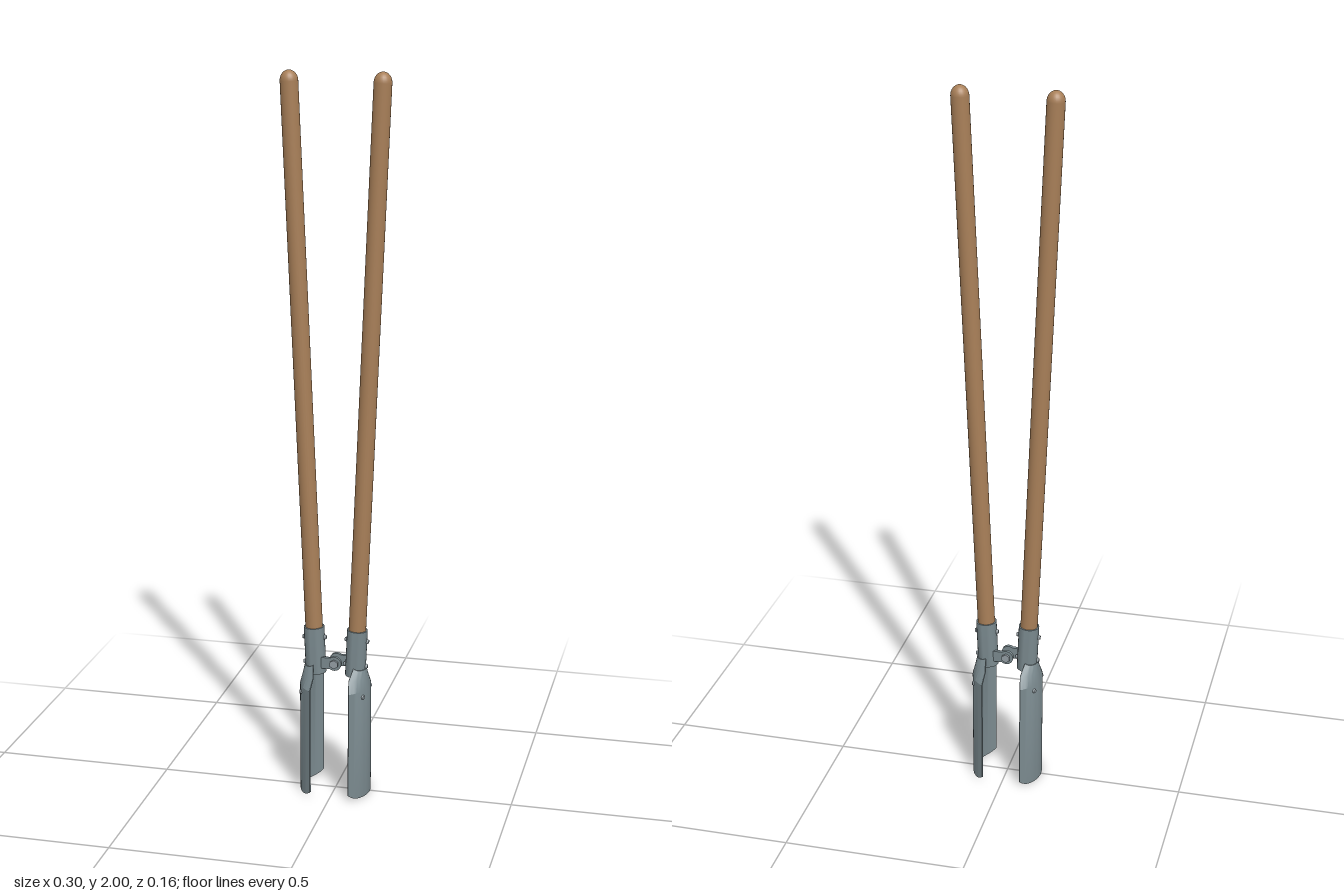
import * as THREE from 'three';
import { toCreasedNormals } from 'three/addons/utils/BufferGeometryUtils.js';

const V = (x, y) => new THREE.Vector2(x, y);

export function createModel() {
  const wood = new THREE.MeshStandardMaterial({ color: 0xa87f58 });
  wood.name = 'ash wood';
  const steel = new THREE.MeshStandardMaterial({ color: 0x7a898e });
  steel.name = 'painted steel';
  const bright = new THREE.MeshStandardMaterial({ color: 0x929ca2 });
  bright.name = 'bright steel';

  const add = (parent, name, geometry, material, x = 0, y = 0, z = 0) => {
    const mesh = new THREE.Mesh(geometry, material);
    mesh.name = name;
    mesh.position.set(x, y, z);
    parent.add(mesh);
    return mesh;
  };

  // Curved sheet: each row is an arc with an outer and an inner skin
  const sheet = (rows, thickness, segments = 24) => {
    const pos = [], idx = [];
    const n = 2 * (segments + 1);
    for (const { cx, r, half, y, edge = 0 } of rows) {
      for (let k = 0; k < n; k++) {
        const inner = k > segments;
        const t = ((inner ? n - 1 - k : k) / segments) * 2 - 1;
        const rad = inner ? r - thickness : r;
        pos.push(cx + rad * Math.cos(t * half), y + edge * t ** 6, rad * Math.sin(t * half));
      }
    }
    for (let i = 0; i < rows.length - 1; i++) {
      for (let k = 0; k < n; k++) {
        const a = i * n + k, b = i * n + (k + 1) % n;
        idx.push(a, a + n, b, b, a + n, b + n);
      }
    }
    const top = (rows.length - 1) * n;
    for (let k = 0; k < segments; k++) {
      const k2 = n - 1 - k;
      idx.push(k, k + 1, k2, k + 1, k2 - 1, k2);
      idx.push(top + k, top + k2, top + k + 1, top + k + 1, top + k2, top + k2 - 1);
    }
    const g = new THREE.BufferGeometry();
    g.setAttribute('position', new THREE.Float32BufferAttribute(pos, 3));
    g.setIndex(idx);
    return toCreasedNormals(g, 0.5);
  };

  const bladeGeo = sheet([
    { cx: 0, r: 0.099, half: 0.98, y: 0, edge: 0.015 },
    { cx: 0, r: 0.099, half: 0.98, y: 0.318 },
    { cx: 0.029, r: 0.063, half: 1.22, y: 0.345, edge: 0.003 },
    { cx: 0.057, r: 0.0305, half: 1.57, y: 0.368, edge: 0.007 },
  ], 0.004);

  // Turned handle with a domed end
  const dome = [];
  for (let i = 0; i <= 8; i++) {
    const a = (i / 8) * Math.PI / 2;
    dome.push(V(0.024 * Math.cos(a), 1.613 + 0.028 * Math.sin(a)));
  }
  const handleGeo = new THREE.LatheGeometry([V(0, 0), V(0.024, 0), V(0.024, 0), ...dome], 24);

  // Hollow socket tube
  const socketGeo = toCreasedNormals(new THREE.LatheGeometry(
    [V(0.0245, -0.014), V(0.0285, -0.014), V(0.0285, 0.12), V(0.0245, 0.12), V(0.0245, -0.014)], 24), 0.6);

  // Hinge arm: round eye at the pivot, straight bar to the socket
  const armShape = new THREE.Shape();
  armShape.moveTo(0.04, -0.016);
  armShape.lineTo(0.04, 0.016);
  armShape.lineTo(0.012, 0.016);
  armShape.absarc(0, 0, 0.02, 0.93, Math.PI * 2 - 0.93, false);
  armShape.lineTo(0.012, -0.016);
  const armGeo = new THREE.ExtrudeGeometry(armShape, { depth: 0.01, bevelEnabled: false, curveSegments: 20 });

  const rivetGeo = new THREE.CylinderGeometry(0.005, 0.0075, 0.006, 12);

  const makeSide = (name) => {
    const side = new THREE.Group();
    side.name = name;
    add(side, 'blade', bladeGeo, steel);

    const shaft = new THREE.Group();
    shaft.name = 'handleAssembly';
    shaft.position.set(0.0565, 0.36, 0);
    shaft.rotation.z = -0.0417;
    side.add(shaft);
    add(shaft, 'handle', handleGeo, wood);
    add(shaft, 'socket', socketGeo, steel);
    for (const y of [0.015, 0.088]) {
      for (const s of [-1, 1]) {
        add(shaft, 'socketRivet', rivetGeo, bright, s * 0.031, y, 0).rotation.z = -s * Math.PI / 2;
      }
    }

    // Rivets through the upper blade
    for (const s of [-1, 1]) {
      const a = s * 0.48;
      const rivet = add(side, 'bladeRivet', rivetGeo, bright, 0.1 * Math.cos(a), 0.3, 0.1 * Math.sin(a));
      rivet.rotation.set(0, -a, -Math.PI / 2);
    }
    add(side, 'hingeArm', armGeo, steel, 0, 0.38, -0.02);
    return side;
  };

  const model = new THREE.Group();
  model.name = 'postHoleDigger';
  const left = makeSide('leftSide');
  const right = makeSide('rightSide');
  right.rotation.y = Math.PI;
  model.add(left, right);

  // Pivot bolt joining both arms
  const pin = add(model, 'pivotPin', new THREE.CylinderGeometry(0.007, 0.007, 0.05, 16), bright, 0, 0.38, 0);
  pin.rotation.x = Math.PI / 2;
  for (const s of [-1, 1]) {
    add(model, 'boltHead', new THREE.CylinderGeometry(0.0125, 0.0125, 0.007, 6), bright, 0, 0.38, s * 0.0235)
      .rotation.x = Math.PI / 2;
  }
  return model;
}
